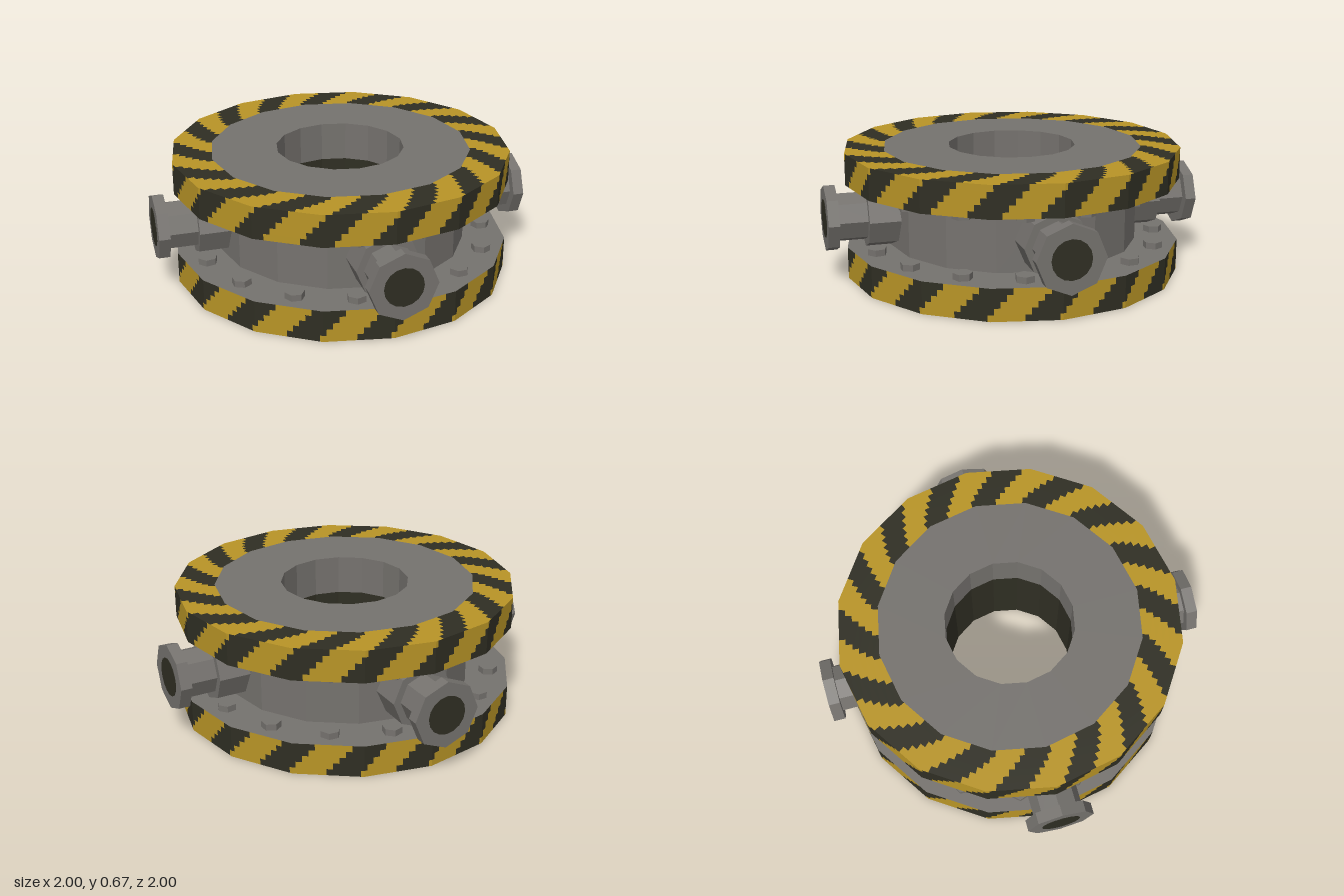
import * as THREE from 'three';

const SIDES = 16, MID = 0.333;          // facets round the body, height of the pipe axis
const R_OUT = 0.885, R_BAND = 0.68, R_BORE = 0.335, R_HUB = 0.66;
const Y_IN = 0.167, Y_OUT = MID;        // flange faces, measured from the middle

function material(name, color, extra = {}) {
  const m = new THREE.MeshStandardMaterial({ color, flatShading: true, ...extra });
  m.name = name;
  return m;
}

// Point on a 16-sided ring; u counts facets from the front towards +x
function ringPoint(u, r, y) {
  const i = Math.floor(u + 1e-9), t = u - i, step = (Math.PI * 2) / SIDES;
  const a = i * step, b = a + step;
  return [
    r * THREE.MathUtils.lerp(Math.sin(a), Math.sin(b), t),
    y,
    r * THREE.MathUtils.lerp(Math.cos(a), Math.cos(b), t),
  ];
}

// Slanted stepped stripes over the flange's outer face and rim
function stripeGeometry(start, width) {
  const pos = [];
  const quad = (u0, u1, p, q) => {
    const a = ringPoint(u0, ...p), b = ringPoint(u0, ...q);
    // stay on the same facet at its far corner
    const end = (s) => ringPoint(u1, ...s);
    const c = end(q), d = end(p);
    pos.push(...a, ...b, ...c, ...a, ...c, ...d);
  };
  const band = (from, to, rows, s0, s1) => {
    for (let j = 0; j < rows; j++) {
      const p = from.map((v, k) => THREE.MathUtils.lerp(v, to[k], j / rows));
      const q = from.map((v, k) => THREE.MathUtils.lerp(v, to[k], (j + 1) / rows));
      const shift = THREE.MathUtils.lerp(s0, s1, (j + 0.5) / rows);
      for (let k = 0; k < SIDES; k++) {
        const u0 = k + start + shift, u1 = u0 + width;
        const corner = Math.floor(u0) + 1;
        if (corner < u1) {
          quad(u0, corner, p, q);
          quad(corner, u1, p, q);
        } else quad(u0, u1, p, q);
      }
    }
  };
  band([R_BAND, Y_OUT], [R_OUT, Y_OUT], 6, 0.55, 0);
  band([R_OUT, Y_OUT], [R_OUT, Y_IN], 5, 0, -0.45);
  const g = new THREE.BufferGeometry();
  g.setAttribute('position', new THREE.Float32BufferAttribute(pos, 3));
  g.computeVertexNormals();
  return g;
}

export function createModel() {
  const grey = material('grey metal', 0x75726e);
  const yellow = material('warning yellow', 0xb89426);
  const dark = material('dark', 0x2f2e23);
  const model = new THREE.Group();
  model.name = 'pipeJunction';

  const add = (parent, name, geometry, mat, y = 0) => {
    const mesh = new THREE.Mesh(geometry, mat);
    mesh.name = name;
    mesh.position.y = y;
    parent.add(mesh);
    return mesh;
  };

  // Flange with striped edge and a circle of bolts; the lower one is turned over
  function makeFlange(name) {
    const flange = new THREE.Group();
    flange.name = name;
    add(flange, 'yellowStripes', stripeGeometry(-0.43, 0.52), yellow);
    add(flange, 'darkStripes', stripeGeometry(0.09, 0.48), dark);
    add(flange, 'outerFace', new THREE.RingGeometry(R_BORE, R_BAND, SIDES).rotateX(-Math.PI / 2), grey, Y_OUT);
    add(flange, 'innerFace', new THREE.RingGeometry(R_HUB - 0.02, R_OUT, SIDES).rotateX(Math.PI / 2), grey, Y_IN);
    const boltGeometry = new THREE.CylinderGeometry(0.05, 0.05, 0.034, 6);
    for (let i = 0; i < SIDES; i++) {
      const a = ((i + 0.5) / SIDES) * Math.PI * 2;
      const bolt = add(flange, 'bolt', boltGeometry, grey);
      bolt.position.set(0.77 * Math.sin(a), Y_IN - 0.016, 0.77 * Math.cos(a));
      bolt.rotation.y = a;
    }
    flange.position.y = MID;
    model.add(flange);
    return flange;
  }
  makeFlange('upperFlange');
  makeFlange('lowerFlange').rotation.x = Math.PI;

  // Hub between the flanges
  add(model, 'hub', new THREE.CylinderGeometry(R_HUB, R_HUB, 2 * Y_IN, SIDES, 1, true), grey, MID);

  // Bore wall, facing the axis: grey above, dark below
  const bore = (name, y0, y1, mat) => {
    const g = new THREE.CylinderGeometry(R_BORE, R_BORE, y1 - y0, SIDES, 1, true);
    g.scale(-1, 1, 1); // mirrored so the faces point inwards
    g.computeVertexNormals();
    add(model, name, g, mat, (y0 + y1) / 2);
  };
  bore('upperBore', 0.46, MID + Y_OUT, grey);
  bore('lowerBore', 0, 0.46, dark);

  // Four side pipes: collar at the hub, pipe, end flange and dark opening
  const segment = (r, z0, z1, sides = 8) =>
    new THREE.CylinderGeometry(r, r, z1 - z0, sides).rotateX(Math.PI / 2).translate(0, 0, (z0 + z1) / 2);
  for (let i = 0; i < 4; i++) {
    const pipe = new THREE.Group();
    pipe.name = 'sidePipe';
    add(pipe, 'collar', segment(0.165, 0.58, 0.79), grey);
    add(pipe, 'pipe', segment(0.127, 0.75, 0.96), grey);
    add(pipe, 'endFlange', segment(0.173, 0.94, 0.998), grey);
    add(pipe, 'opening', segment(0.1, 0.995, 1, 16), dark);
    pipe.position.y = MID;
    pipe.rotation.y = (i * Math.PI) / 2;
    model.add(pipe);
  }
  return model;
}
